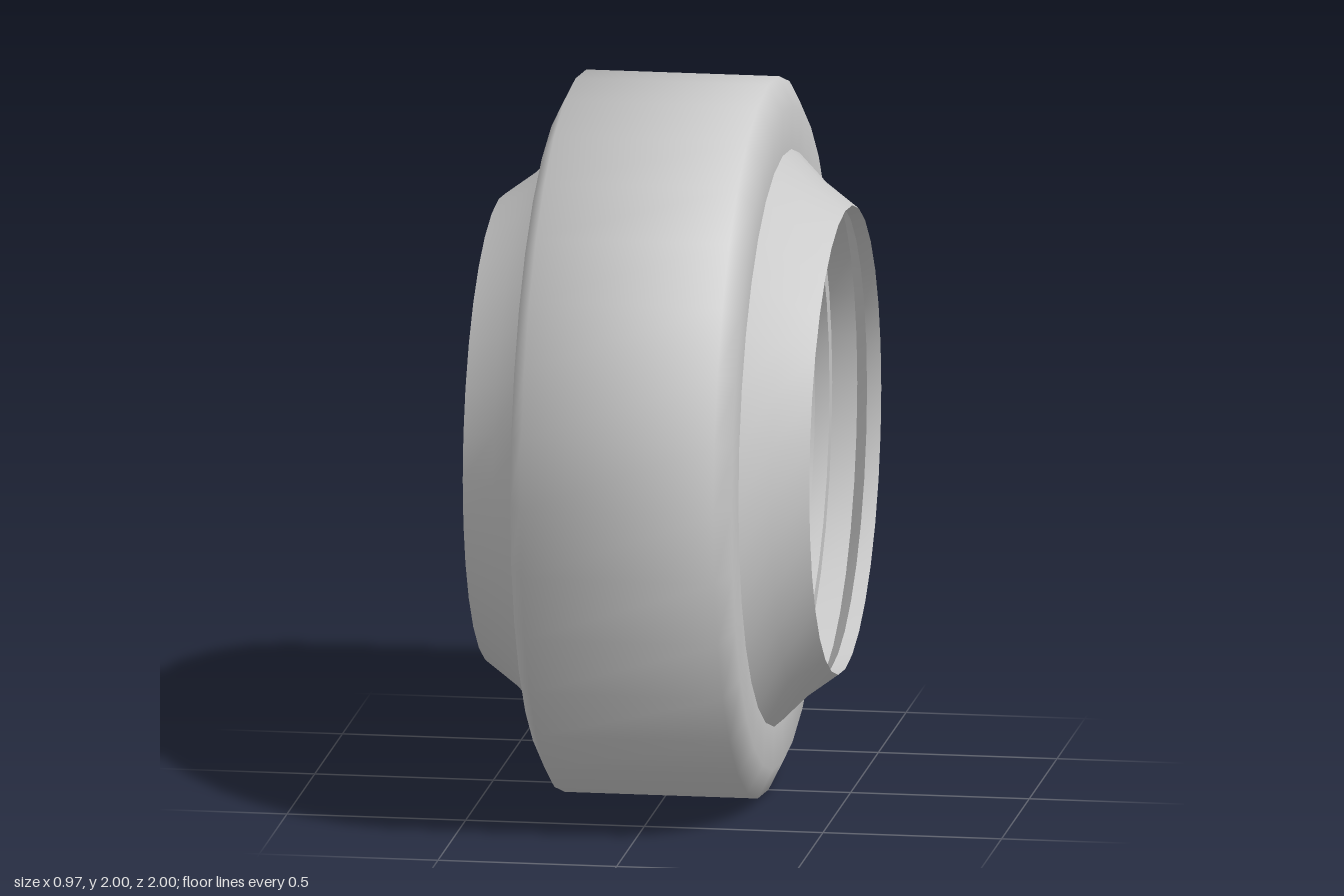
import * as THREE from 'three';
import { toCreasedNormals } from 'three/addons/utils/BufferGeometryUtils.js';

const SEGMENTS = 32;
const SMOOTH = Math.PI / 2;
const CREASED = Math.PI / 8;

// Spins a profile of [radius, x] pairs around the x axis
function ring(name, profile, material, crease) {
  const points = profile.map(([r, x]) => new THREE.Vector2(r, x));
  const geometry = toCreasedNormals(new THREE.LatheGeometry(points, SEGMENTS), crease);
  geometry.rotateZ(-Math.PI / 2);
  const mesh = new THREE.Mesh(geometry, material);
  mesh.name = name;
  mesh.position.y = 1;
  return mesh;
}

// The same profile on the other side, in reverse order
const mirror = (profile) => profile.map(([r, x]) => [r, -x]).reverse();

export function createModel() {
  const group = new THREE.Group();
  group.name = 'wheelRing';
  const material = new THREE.MeshStandardMaterial({ color: 0xcccccc, side: THREE.DoubleSide });

  // Tyre: flat sidewalls, bevelled shoulders and a flat tread, shaded smoothly
  const shoulder = [[1, 0.27], [0.92, 0.31], [0.8, 0.31]];
  group.add(ring('tyre', [...mirror(shoulder), ...shoulder], material, SMOOTH));

  // Conical rim flanges on both sides
  const flange = [[0.8, 0.31], [0.72, 0.39], [0.65, 0.485]];
  group.add(ring('leftFlange', flange, material, SMOOTH));
  group.add(ring('rightFlange', mirror(flange), material, SMOOTH));

  // Inside of the rim: a grooved lip at each opening and a deep channel between them
  const lip = [
    [0.65, 0.485], [0.65, 0.445], [0.7, 0.41], [0.7, 0.34],
    [0.65, 0.34], [0.65, 0.3], [0.79, 0.3],
  ];
  group.add(ring('innerRim', [...lip, ...mirror(lip)], material, CREASED));

  return group;
}
